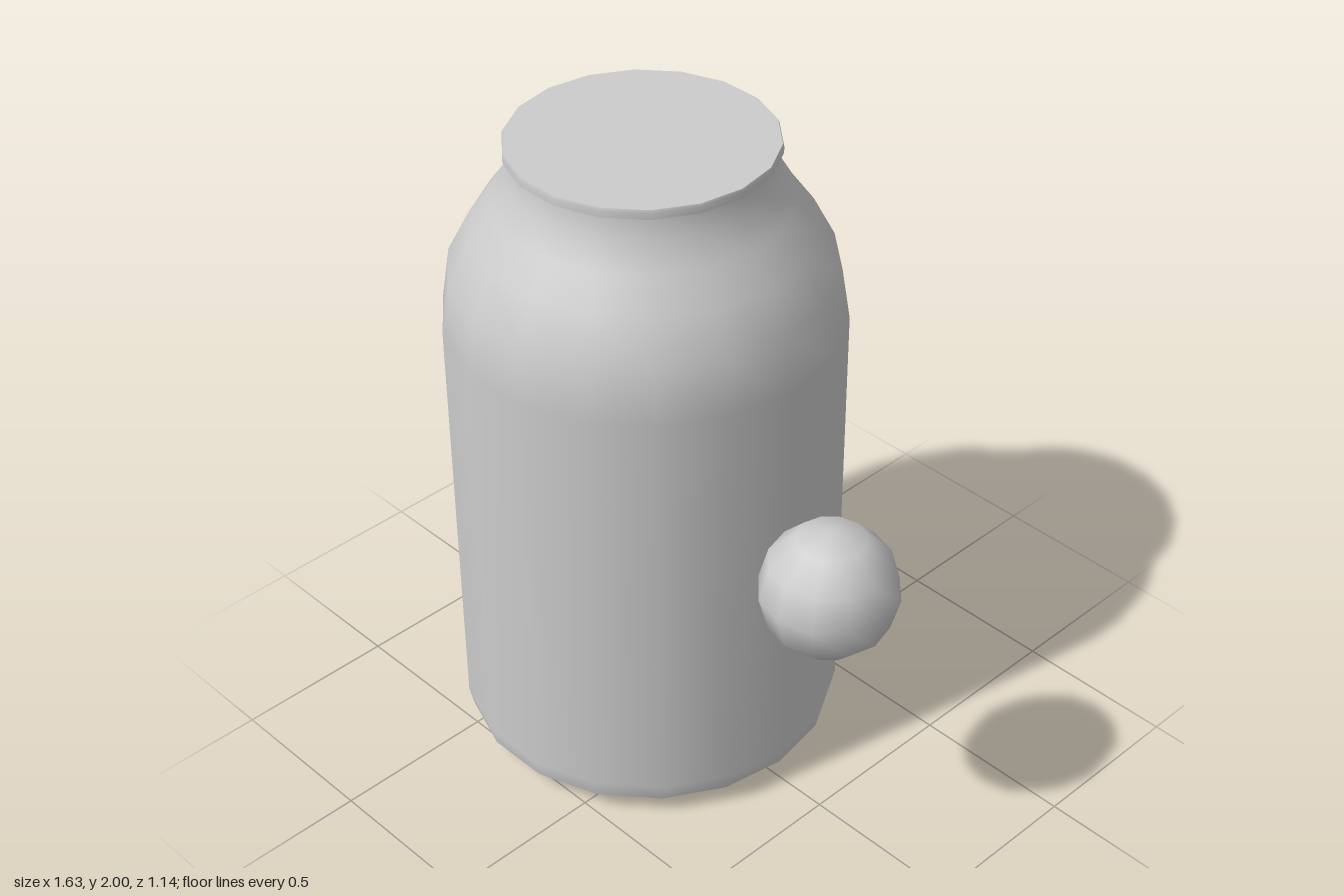
import * as THREE from 'three';

const material = new THREE.MeshStandardMaterial({ color: 0xcccccc });
const SIDES = 18;

// Surface turned round the jar's axis; profile is [radius, height], bottom to top
function turned(name, profile) {
  const points = profile.map(([r, y]) => new THREE.Vector2(r, y));
  const mesh = new THREE.Mesh(new THREE.LatheGeometry(points, SIDES, Math.PI / 2), material);
  mesh.name = name;
  return mesh;
}

export function createModel() {
  const model = new THREE.Group();
  model.name = 'jarAndBall';

  // Jar, split into smooth sections where the surface has a sharp edge
  const jar = new THREE.Group();
  jar.name = 'jar';
  jar.position.x = -0.237;
  jar.add(
    turned('base', [[0, 0.004], [0.473, 0.004], [0.53, 0.033], [0.567, 0.067]]),
    turned('body', [
      [0.567, 0.067], [0.58, 0.125], [0.58, 1.45], [0.555, 1.61],
      [0.49, 1.735], [0.425, 1.825], [0.377, 1.905], [0.37, 1.972],
    ]),
    turned('rimUnderside', [[0.37, 1.972], [0.385, 1.972]]),
    turned('rim', [[0.385, 1.972], [0.385, 1.992], [0.382, 2]]),
    turned('lid', [[0.382, 2], [0, 2]]),
  );
  model.add(jar);

  // Ball floating beside the jar
  const ball = new THREE.Mesh(new THREE.SphereGeometry(0.2, 12, 6), material);
  ball.name = 'ball';
  ball.position.set(0.618, 0.995, 0.125);
  model.add(ball);

  return model;
}
